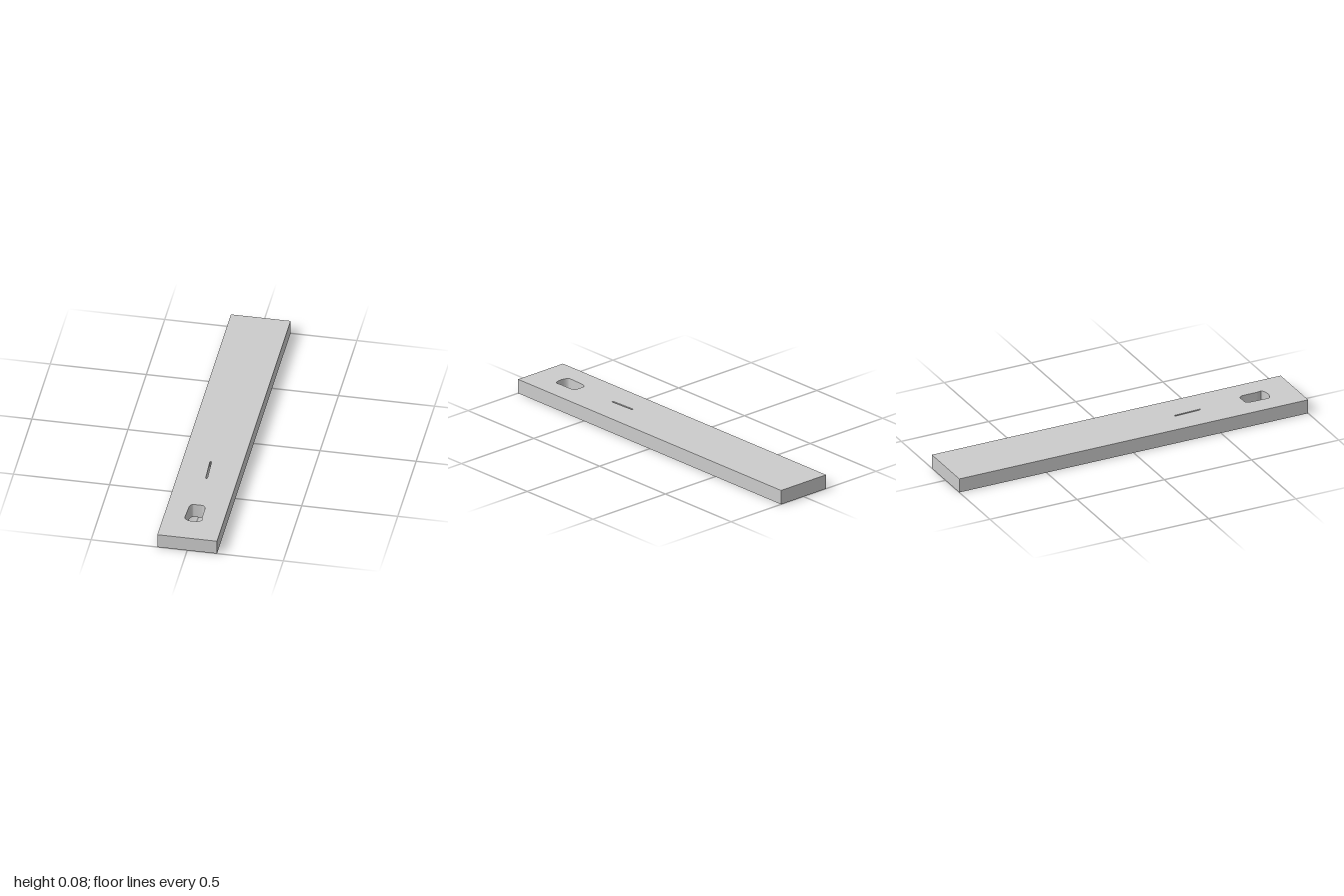
import * as THREE from 'three';
import { toCreasedNormals } from 'three/addons/utils/BufferGeometryUtils.js';

const HALF_WIDTH = 0.155, HALF_LENGTH = 1, THICKNESS = 0.077;

// Outlines are drawn as (x, z) and later laid flat.
function plateOutline() {
  const s = new THREE.Shape();
  s.moveTo(-HALF_WIDTH, -HALF_LENGTH);
  s.lineTo(HALF_WIDTH, -HALF_LENGTH);
  s.lineTo(HALF_WIDTH, HALF_LENGTH);
  s.lineTo(-HALF_WIDTH, HALF_LENGTH);
  s.closePath();
  return s;
}

// Rounded opening, slightly wider and bowed at the front end
function openingHole() {
  const p = new THREE.Path();
  p.moveTo(-0.022, 0.7);
  p.lineTo(0.02, 0.7);
  p.quadraticCurveTo(0.038, 0.702, 0.04, 0.73);
  p.lineTo(0.04, 0.805);
  p.quadraticCurveTo(0.041, 0.82, 0.044, 0.83);
  p.bezierCurveTo(0.032, 0.853, -0.034, 0.853, -0.045, 0.83);
  p.quadraticCurveTo(-0.047, 0.82, -0.046, 0.805);
  p.lineTo(-0.043, 0.73);
  p.quadraticCurveTo(-0.041, 0.702, -0.022, 0.7);
  return p;
}

// Thin slit, leaning slightly to one side
function slitHole() {
  const p = new THREE.Path();
  p.moveTo(-0.014, 0.312);
  p.quadraticCurveTo(-0.009, 0.304, -0.005, 0.312);
  p.lineTo(0.001, 0.455);
  p.quadraticCurveTo(-0.003, 0.464, -0.008, 0.455);
  p.closePath();
  return p;
}

export function createModel() {
  const group = new THREE.Group();
  group.name = 'slottedBar';

  const outline = plateOutline();
  outline.holes.push(openingHole(), slitHole());
  let geometry = new THREE.ExtrudeGeometry(outline, {
    depth: THICKNESS, bevelEnabled: false, curveSegments: 8,
  });
  // Lay flat: outline y becomes z, depth runs downward from the top face
  geometry.rotateX(Math.PI / 2);
  geometry.translate(0, THICKNESS, 0);
  geometry = toCreasedNormals(geometry, Math.PI / 5);

  const plate = new THREE.Mesh(geometry, new THREE.MeshStandardMaterial({ color: 0xcccccc }));
  plate.name = 'plate';
  group.add(plate);
  return group;
}
